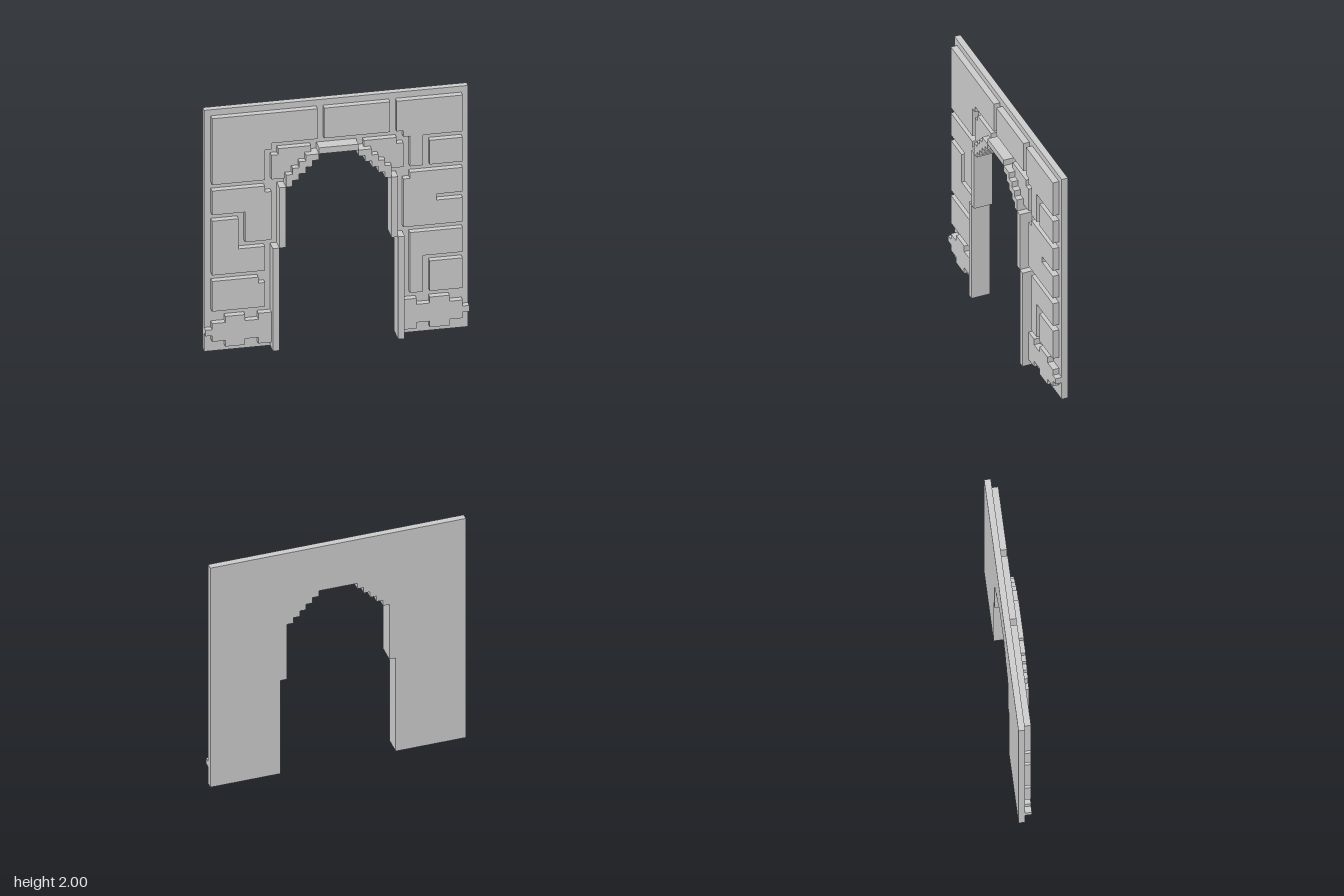
import * as THREE from 'three';

const BACK = -0.075, FACE = -0.025, STONE = 0.025, TRIM = 0.075;

export function createModel() {
  const group = new THREE.Group();
  const material = new THREE.MeshStandardMaterial({ color: 0xcccccc, flatShading: true });

  const add = (name, geometry) => {
    const mesh = new THREE.Mesh(geometry, material);
    mesh.name = name;
    group.add(mesh);
    return mesh;
  };

  // Extrudes an outline of [x, y] corners between two depths
  const slab = (name, points, z0, z1) => {
    const shape = new THREE.Shape(points.map(([x, y]) => new THREE.Vector2(x, y)));
    const geometry = new THREE.ExtrudeGeometry(shape, { depth: z1 - z0, bevelEnabled: false });
    geometry.translate(0, 0, z0);
    return add(name, geometry);
  };
  const box = (name, x0, x1, y0, y1, z0, z1) => {
    const geometry = new THREE.BoxGeometry(x1 - x0, y1 - y0, z1 - z0);
    geometry.translate((x0 + x1) / 2, (y0 + y1) / 2, (z0 + z1) / 2);
    return add(name, geometry);
  };
  const mirror = (points) => points.map(([x, y]) => [-x, y]);

  // Wall with the stepped archway cut out
  const opening = [[0.45, 0], [0.45, 0.85], [0.4, 0.85], [0.4, 1.35]];
  for (let i = 0; i < 5; i++) {
    const x = 0.35 - 0.05 * i, y = 1.35 + 0.05 * i;
    opening.push([x, y], [x, y + 0.05]);
  }
  slab('wall', [[1, 0], [1, 2], [-1, 2], [-1, 0], ...mirror(opening), ...opening.slice().reverse()], BACK, FACE);

  // Raised trim around the archway
  box('archLintel', -0.15, 0.15, 1.6, 1.65, FACE, TRIM);
  for (const [side, s] of [['left', 1], ['right', -1]]) {
    const trim = (name, inner, outer, y0, y1) =>
      box(side + name, Math.min(s * inner, s * outer), Math.max(s * inner, s * outer), y0, y1, FACE, TRIM);
    trim('LowerJamb', 0.45, 0.5, 0, 0.85);
    trim('UpperJamb', 0.4, 0.45, 0.85, 1.35);
    for (let i = 0; i < 5; i++) {
      const inner = 0.35 - 0.05 * i, y = 1.35 + 0.05 * i;
      trim('ArchStep' + (i + 1), inner, inner + (i ? 0.1 : 0.05), y, y + 0.05);
    }
  }

  // Stones mirrored on both sides: arch shoulder and ragged base stone
  const shoulder = [[0.2, 1.65], [0.45, 1.65], [0.45, 1.6], [0.5, 1.6], [0.5, 1.4], [0.4, 1.4],
    [0.4, 1.45], [0.35, 1.45], [0.35, 1.5], [0.3, 1.5], [0.3, 1.55], [0.25, 1.55], [0.25, 1.6], [0.2, 1.6]];
  const raggedTop = [[0.5, 0.3], [0.6, 0.3], [0.6, 0.25], [0.7, 0.25], [0.7, 0.3], [0.85, 0.3],
    [0.85, 0.25], [0.95, 0.25], [0.95, 0.2], [1, 0.2]];
  const ragged = [...raggedTop, ...raggedTop.map(([x, y]) => [x, 0.35 - y]).reverse()];
  for (const [name, points] of [['ArchShoulder', shoulder], ['BaseStone', ragged]]) {
    slab('left' + name, points, FACE, STONE);
    slab('right' + name, mirror(points), FACE, STONE);
  }

  // Plain rectangular stones
  box('topMiddleStone', -0.1, 0.4, 1.7, 1.95, FACE, STONE);
  box('leftUpperSmallStone', 0.7, 0.95, 1.4, 1.6, FACE, STONE);
  box('leftLowerSmallStone', 0.7, 0.95, 0.35, 0.6, FACE, STONE);

  // Irregular interlocking stones
  const stones = {
    rightTopStone: [[-0.95, 1.95], [-0.15, 1.95], [-0.15, 1.7], [-0.5, 1.7], [-0.5, 1.65], [-0.55, 1.65],
      [-0.55, 1.4], [-0.95, 1.4]],
    rightUpperStone: [[-0.95, 1.35], [-0.55, 1.35], [-0.55, 1.3], [-0.5, 1.3], [-0.5, 0.9], [-0.7, 0.9],
      [-0.7, 1.15], [-0.95, 1.15]],
    rightMiddleStone: [[-0.95, 1.1], [-0.75, 1.1], [-0.75, 0.85], [-0.55, 0.85], [-0.55, 0.65], [-0.95, 0.65]],
    rightLowerStone: [[-0.95, 0.6], [-0.6, 0.6], [-0.6, 0.55], [-0.55, 0.55], [-0.55, 0.35], [-0.95, 0.35]],
    leftTopStone: [[0.45, 1.95], [0.95, 1.95], [0.95, 1.65], [0.65, 1.65], [0.65, 1.4], [0.55, 1.4],
      [0.55, 1.65], [0.5, 1.65], [0.5, 1.7], [0.45, 1.7]],
    leftUpperStone: [[0.55, 1.35], [0.95, 1.35], [0.95, 1.15], [0.75, 1.15], [0.75, 1.1], [0.95, 1.1],
      [0.95, 0.9], [0.5, 0.9], [0.5, 1.3], [0.55, 1.3]],
    leftLowerStone: [[0.55, 0.85], [0.95, 0.85], [0.95, 0.65], [0.65, 0.65], [0.65, 0.35], [0.55, 0.35]],
  };
  for (const [name, points] of Object.entries(stones)) slab(name, points, FACE, STONE);

  return group;
}
